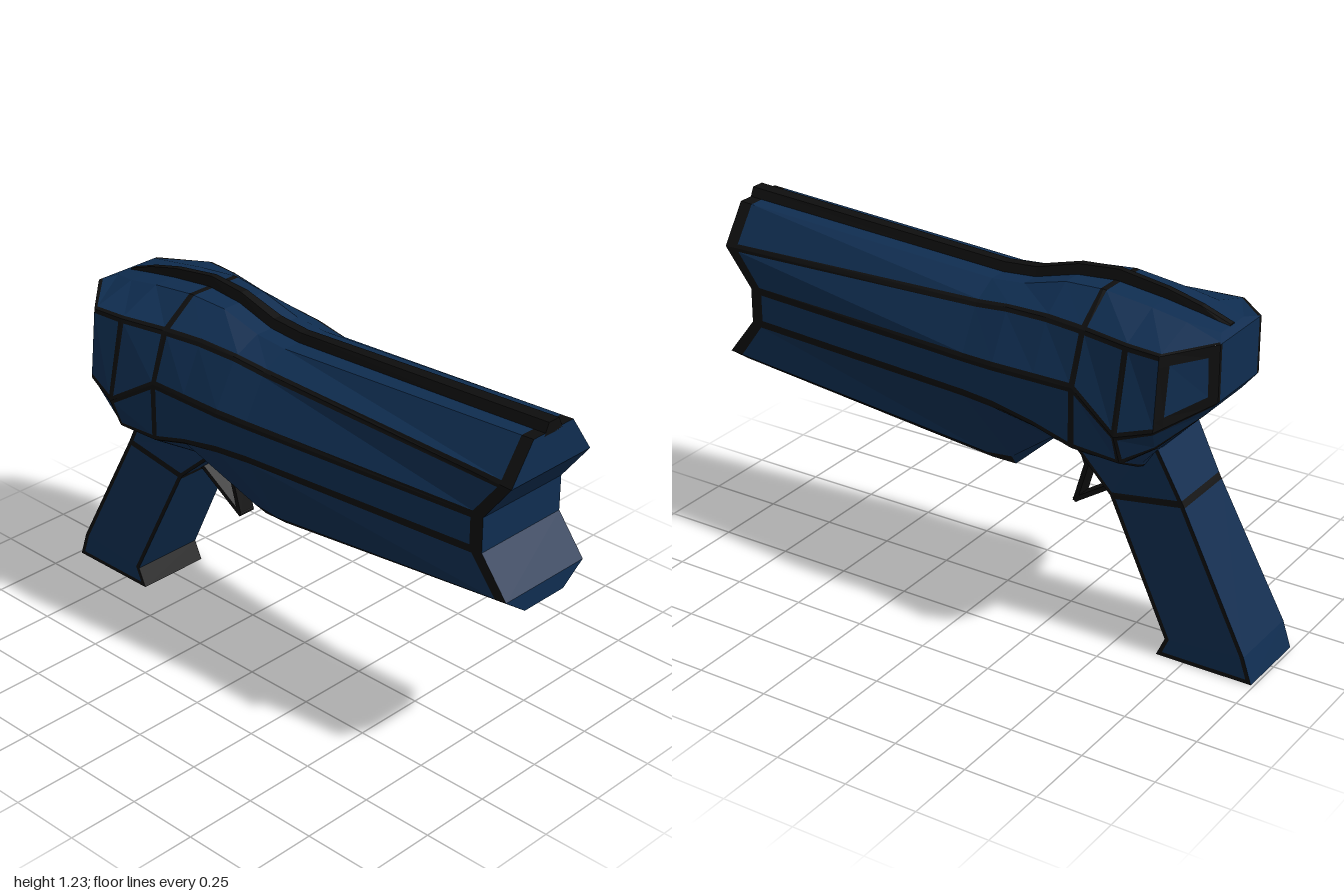
import * as THREE from 'three';

const blue = new THREE.MeshStandardMaterial({ color: 0x0f2d50 });
const black = new THREE.MeshStandardMaterial({ color: 0x0e0e0e });
const V = (p) => new THREE.Vector3(...p);
const flip = ([x, y, z]) => [-x, y, z];

// Collects faces for one part: blue panels and the dark trim framing them
function makePart(name) {
  const data = { Panels: [], Trim: [] };
  const quad = (key, a, b, c, d) => {
    for (const p of [a, b, c, a, c, d]) data[key].push(p.x, p.y, p.z);
  };
  return {
    // One four-cornered cell; widths give the trim along edges ab, bc, cd, da
    cell(corners, [wab = 0, wbc = 0, wcd = 0, wda = 0] = [], dark = false) {
      const [a, b, c, d] = corners.map(V);
      if (dark) return quad('Trim', a, b, c, d);
      const at = (s, t) => a.clone().lerp(b, s).lerp(d.clone().lerp(c, s), t);
      const frac = (w, p, q) => Math.min(0.45, w / Math.max(p.distanceTo(q), 1e-4));
      const mix = THREE.MathUtils.lerp;
      const sCut = (k, t) => [0, mix(frac(wda, a, b), frac(wda, d, c), t),
        1 - mix(frac(wbc, a, b), frac(wbc, d, c), t), 1][k];
      const tCut = (k, s) => [0, mix(frac(wab, a, d), frac(wab, b, c), s),
        1 - mix(frac(wcd, a, d), frac(wcd, b, c), s), 1][k];
      const grid = (i, j) => {
        const s0 = [0, 0, 1, 1][i];
        const t = tCut(j, s0);
        return at(sCut(i, t), t);
      };
      for (let i = 0; i < 3; i++) for (let j = 0; j < 3; j++) {
        if ((i === 0 && !wda) || (i === 2 && !wbc) || (j === 0 && !wab) || (j === 2 && !wcd)) continue;
        quad(i === 1 && j === 1 ? 'Panels' : 'Trim',
          grid(i, j), grid(i + 1, j), grid(i + 1, j + 1), grid(i, j + 1));
      }
    },
    build() {
      const group = new THREE.Group();
      group.name = name;
      for (const key in data) {
        if (!data[key].length) continue;
        const g = new THREE.BufferGeometry();
        g.setAttribute('position', new THREE.Float32BufferAttribute(data[key], 3));
        g.computeVertexNormals();
        const mesh = new THREE.Mesh(g, key === 'Panels' ? blue : black);
        mesh.name = name + key;
        group.add(mesh);
      }
      return group;
    },
  };
}

// Skins a closed ring of lengthwise rails; style(i, j) returns [trim widths, dark]
function skin(part, rails, style) {
  rails.forEach((rail, i) => {
    const next = rails[(i + 1) % rails.length];
    for (let j = 0; j < rail.length - 1; j++) {
      part.cell([rail[j], next[j], next[j + 1], rail[j + 1]], ...style(i, j));
    }
  });
}

// Lengthwise rails of the left half, muzzle to rear
const shoulder = [[.09, 1.18, 1], [.09, 1.13, 0], [.09, 1.14, -.12], [.09, 1.18, -.27],
  [.1, 1.19, -.41], [.1, 1.17, -.58], [.1, 1.15, -.7], [.07, 1.13, -.8]];
const upper = [[.18, 1.05, 1], [.18, 1.08, 0], [.19, 1.095, -.12], [.2, 1.1, -.27],
  [.22, 1.1, -.41], [.255, 1.1, -.58], [.265, 1.1, -.7], [.13, 1.12, -.83]];
const middle = [[.18, .92, .9], [.265, .925, 0], [.28, .93, -.12], [.28, .93, -.27],
  [.28, .93, -.41], [.317, .825, -.58], [.29, .86, -.7], [.13, .93, -.83]];
const lower = [[.18, .8, .9], [.26, .8, 0], [.28, .8, -.12], [.28, .77, -.27],
  [.28, .73, -.41], [.275, .72, -.58], [.22, .77, -.67], [.12, .87, -.78]];
const belly = [[.18, .67, 1], [.13, .54, 0], [.13, .55, -.1], [.15, .67, -.26],
  [.17, .66, -.41], [.16, .66, -.58], [.14, .73, -.64], [.11, .87, -.78]];
const keel = [[.09, .605, 1], [.09, .505, 0], [.09, .505, -.09], [.09, .66, -.26],
  [.1, .63, -.41], [.1, .64, -.58], [.1, .73, -.64], [.07, .87, -.78]];

function body() {
  const part = makePart('body');
  const half = [shoulder, upper, middle, lower, belly, keel];
  const rails = [...half, ...[...half].reverse().map((r) => r.map(flip))];
  const seam = (i) => ([1, 2, 3, 8, 9, 10].includes(i % 12) ? .014 : 0);
  skin(part, rails, (i, j) => {
    const lowerEdge = (i === 4 || i === 6) && j < 2;
    // Framed windows on the slanted rear corners
    if (j === 6 && (i === 1 || i === 9)) return [[.035, .035, .035, .035], false];
    const underside = i === 5;
    const ring = (k) => (k === 0 && !underside ? .045
      : k === 4 ? .011 : k === 5 && i !== 0 && i !== 10 && i !== 11 ? .011 : 0);
    return [[ring(j), seam(i + 1), ring(j + 1), seam(i)], lowerEdge];
  });
  // Notched muzzle face and rear face
  for (let i = 0; i < 5; i++) {
    const [a, b] = [half[i][0], half[i + 1][0]];
    part.cell([a, flip(a), flip(b), b]);
    const [c, d] = [half[i][7], half[i + 1][7]];
    part.cell([c, d, flip(d), flip(c)], i === 1 ? [.012, 0, .012, 0] : []);
  }
  return part.build();
}

// Dark sight ridge along the top
function topRidge() {
  const part = makePart('topRidge');
  const rise = [.03, .03, .03, .033, .035, .03, .02, .004];
  const rail = (side, top) => shoulder.map(([, y, z], j) => {
    const base = .042 - .022 * Math.min(1, j / 4) + (j === 1 ? -.006 : 0);
    return [side * (top ? base * .55 : base), y + (top ? rise[j] : -.01), z];
  });
  const rails = [rail(-1, true), rail(1, true), rail(1, false), rail(-1, false)];
  skin(part, rails, () => [[], true]);
  for (const j of [0, 7]) {
    const ring = rails.map((r) => r[j]);
    part.cell(j ? ring : ring.reverse(), [], true);
  }
  return part.build();
}

// Raked grip with a flared toe
function grip() {
  const part = makePart('grip');
  const front = [[.1, .67, -.28], [.12, .51, -.46], [.135, .065, -.68], [.135, 0, -.65]];
  const rear = [[.13, .74, -.62], [.12, .55, -.72], [.135, .09, -.96], [.135, 0, -.99]];
  const rails = [front, front.map(flip), rear.map(flip), rear];
  skin(part, rails, (i, j) => {
    const side = i % 2 ? .015 : 0;
    return [[j === 1 ? .012 : 0, side, j === 0 ? .012 : j === 2 ? side : 0, side], i === 0 && j === 2];
  });
  part.cell(rails.map((r) => r[3]));
  return part.build();
}

// Bent strap forming the trigger
function trigger() {
  const group = new THREE.Group();
  group.name = 'trigger';
  const path = [[0, .67, -.262], [0, .54, -.318], [0, .402, -.278], [0, .52, -.46]].map(V);
  for (let i = 0; i < 3; i++) {
    const [p, q] = [path[i], path[i + 1]];
    const strap = new THREE.Mesh(new THREE.BoxGeometry(.06, .016, p.distanceTo(q) + .012), black);
    strap.name = 'triggerStrap';
    strap.position.copy(p).lerp(q, .5);
    strap.lookAt(q);
    group.add(strap);
  }
  return group;
}

export function createModel() {
  const model = new THREE.Group();
  model.name = 'blaster';
  model.add(body(), topRidge(), grip(), trigger());
  return model;
}
